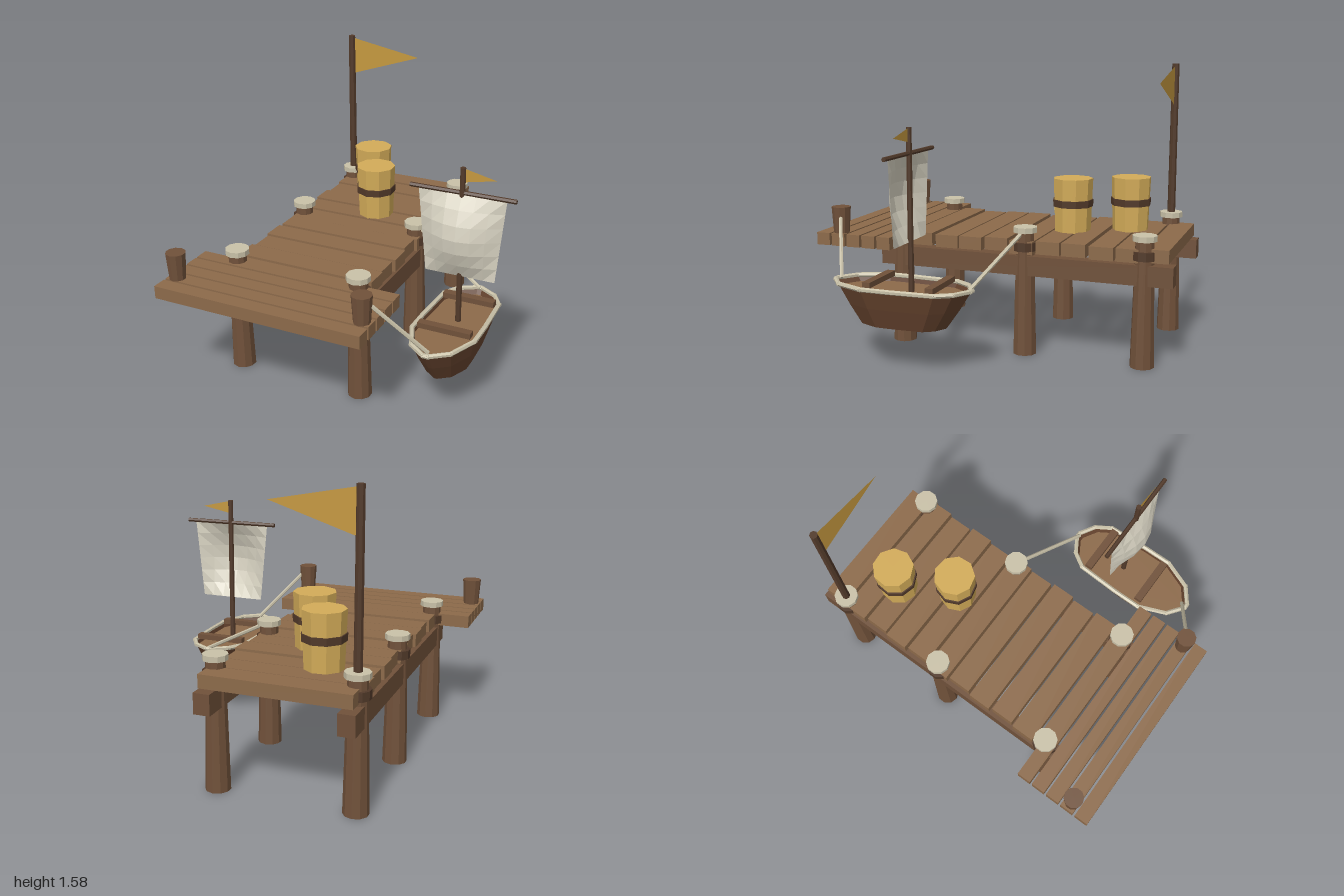
import * as THREE from 'three';

const COLORS = {
  plank: 0x8c6a4a, post: 0x70513a, dark: 0x523a2a, rope: 0xc9c1a8,
  barrel: 0xd2ab58, flag: 0xc4983f, hull: 0x64422d, sail: 0xd8d3c2,
};
const mats = {};
for (const [key, color] of Object.entries(COLORS)) {
  mats[key] = new THREE.MeshStandardMaterial({
    color, flatShading: true,
    side: ['flag', 'sail', 'hull'].includes(key) ? THREE.DoubleSide : THREE.FrontSide,
  });
}

function add(parent, name, geometry, mat, x = 0, y = 0, z = 0) {
  const mesh = new THREE.Mesh(geometry, mats[mat]);
  mesh.name = name;
  mesh.position.set(x, y, z);
  parent.add(mesh);
  return mesh;
}

// Box and upright cylinder given by their vertical extent
const box = (p, name, mat, x, y0, y1, z, w, d) =>
  add(p, name, new THREE.BoxGeometry(w, y1 - y0, d), mat, x, (y0 + y1) / 2, z);
const post = (p, name, mat, x, y0, y1, z, rTop, rBottom, sides = 10) =>
  add(p, name, new THREE.CylinderGeometry(rTop, rBottom, y1 - y0, sides), mat, x, (y0 + y1) / 2, z);

// Straight rod between two points
function rod(p, name, mat, a, b, r, extra = 0) {
  const from = new THREE.Vector3(...a), to = new THREE.Vector3(...b);
  const dir = to.clone().sub(from);
  const mid = from.clone().add(to).multiplyScalar(0.5);
  const mesh = add(p, name, new THREE.CylinderGeometry(r, r, dir.length() + extra, 6), mat, mid.x, mid.y, mid.z);
  mesh.quaternion.setFromUnitVectors(new THREE.Vector3(0, 1, 0), dir.normalize());
}

function pennant(p, name, x, y, z, height, length, tipDrop) {
  const shape = new THREE.Shape([
    new THREE.Vector2(0, 0), new THREE.Vector2(0, -height), new THREE.Vector2(length, -tipDrop),
  ]);
  add(p, name, new THREE.ShapeGeometry(shape), 'flag', x, y, z);
}

function buildDock() {
  const dock = new THREE.Group();
  dock.name = 'dock';

  // Posts with collars and caps, and the two long beams
  for (const x of [-0.62, 0.112]) {
    for (const z of [-0.84, -0.18, 0.555]) {
      post(dock, 'dockPost', 'post', x, 0, 0.69, z, 0.05, 0.066);
      post(dock, 'postCollar', 'dark', x, 0.585, 0.632, z, 0.068, 0.068);
      post(dock, 'postCap', 'rope', x, 0.685, 0.715, z, 0.066, 0.066);
    }
    box(dock, 'longBeam', 'post', x, 0.45, 0.56, -0.163, 0.088, 1.675);
  }

  // Walkway planks, slightly uneven
  for (let i = 0; i < 11; i++) {
    const top = 0.647 - (i % 3) * 0.004;
    const last = i === 10;
    box(dock, 'walkwayPlank', 'plank', -0.25, top - 0.072, top,
      last ? 0.56 : -0.908 + i * 0.148, i % 2 ? 0.81 : 0.785, last ? 0.108 : 0.132);
  }

  // Wide platform at the end
  for (let i = 0; i < 5; i++) {
    box(dock, 'platformPlank', 'plank', -0.255, 0.572, 0.642, 0.575 + i * 0.0938, 1.18, 0.08);
  }
  for (const x of [-0.792, 0.283]) {
    post(dock, 'bollard', 'post', x, 0.64, 0.79, 0.86, 0.054, 0.044);
  }

  // Flagpole
  post(dock, 'flagpole', 'dark', -0.62, 0.7, 1.58, -0.84, 0.021, 0.023, 8);
  pennant(dock, 'dockFlag', -0.6, 1.565, -0.84, 0.22, 0.43, 0.08);

  // Barrels
  for (const [x, z, turn] of [[-0.383, -0.65, 0.1], [-0.222, -0.35, 0.6]]) {
    post(dock, 'barrel', 'barrel', x, 0.64, 0.945, z, 0.114, 0.103, 9).rotation.y = turn;
    post(dock, 'barrelHoop', 'dark', x, 0.785, 0.825, z, 0.117, 0.115, 9).rotation.y = turn;
  }
  return dock;
}

function buildBoat() {
  const boat = new THREE.Group();
  boat.name = 'boat';
  const cx = 0.563, cz = 0.345, rimY = 0.452;

  // Plan outline: half-widths along the length, mirrored to a closed loop
  const half = [[0.013, -0.39], [0.105, -0.335], [0.158, -0.25], [0.17, 0.0], [0.17, 0.16], [0.105, 0.32], [0.013, 0.39]];
  const loop = [...half, ...half.map(([x, z]) => [-x, z]).reverse()];
  const n = loop.length;

  // Hull sides lofted between the keel, a middle ring and the rim
  const rings = [[0.66, 0.64, 0.24], [0.84, 0.83, 0.345], [1, 1, rimY]];
  const positions = [], index = [];
  for (const [sx, sz, y] of rings) {
    for (const [x, z] of loop) positions.push(cx + x * sx, y, cz + z * sz);
  }
  for (let r = 0; r < rings.length - 1; r++) {
    for (let i = 0; i < n; i++) {
      const a = r * n + i, b = r * n + (i + 1) % n;
      index.push(a, a + n, b, b, a + n, b + n);
    }
  }
  const hull = new THREE.BufferGeometry();
  hull.setAttribute('position', new THREE.Float32BufferAttribute(positions, 3));
  hull.setIndex(index);
  hull.computeVertexNormals();
  add(boat, 'hullSides', hull, 'hull');

  // Flat bottom and inner floor
  const slab = (sx, sz) => new THREE.ExtrudeGeometry(
    new THREE.Shape(loop.map(([x, z]) => new THREE.Vector2(x * sx, z * sz))),
    { depth: 0.01, bevelEnabled: false }).rotateX(Math.PI / 2);
  add(boat, 'hullBottom', slab(0.66, 0.64), 'hull', cx, 0.25, cz);
  add(boat, 'boatFloor', slab(0.93, 0.93), 'plank', cx, 0.42, cz);

  // Rope rim, one rod per side
  for (let i = 0; i < n; i++) {
    const [ax, az] = loop[i], [bx, bz] = loop[(i + 1) % n];
    rod(boat, 'ropeRim', 'rope', [cx + ax, rimY, cz + az], [cx + bx, rimY, cz + bz], 0.013, 0.014);
  }

  // Seats
  for (const z of [0.128, 0.483]) box(boat, 'seat', 'post', cx, 0.455, 0.485, z, 0.288, 0.044);

  // Mast, yard and pennant
  post(boat, 'mast', 'dark', cx, 0.41, 1.28, 0.292, 0.015, 0.016, 8);
  rod(boat, 'yard', 'dark', [0.28, 1.147, 0.292], [0.845, 1.147, 0.292], 0.012);
  pennant(boat, 'mastPennant', 0.575, 1.275, 0.292, 0.07, 0.165, 0.037);

  // Billowing sail, narrower at the foot
  const sail = new THREE.PlaneGeometry(1, 1, 6, 6);
  const pos = sail.attributes.position;
  for (let i = 0; i < pos.count; i++) {
    const u = pos.getX(i), v = pos.getY(i) + 0.5;
    const bulge = 0.088 * Math.cos(Math.PI * u) * Math.sin(Math.PI * v);
    pos.setXYZ(i, u * (0.38 + 0.09 * v), 0.685 + 0.46 * v, 0.295 + bulge);
  }
  sail.computeVertexNormals();
  add(boat, 'sail', sail, 'sail', cx);
  return boat;
}

export function createModel() {
  const model = new THREE.Group();
  model.name = 'dockWithBoat';
  model.add(buildDock(), buildBoat());
  // Mooring ropes
  rod(model, 'mooringRope', 'rope', [0.13, 0.69, -0.175], [0.565, 0.455, -0.035], 0.011);
  rod(model, 'mooringRope', 'rope', [0.31, 0.745, 0.85], [0.565, 0.455, 0.705], 0.011);
  return model;
}
